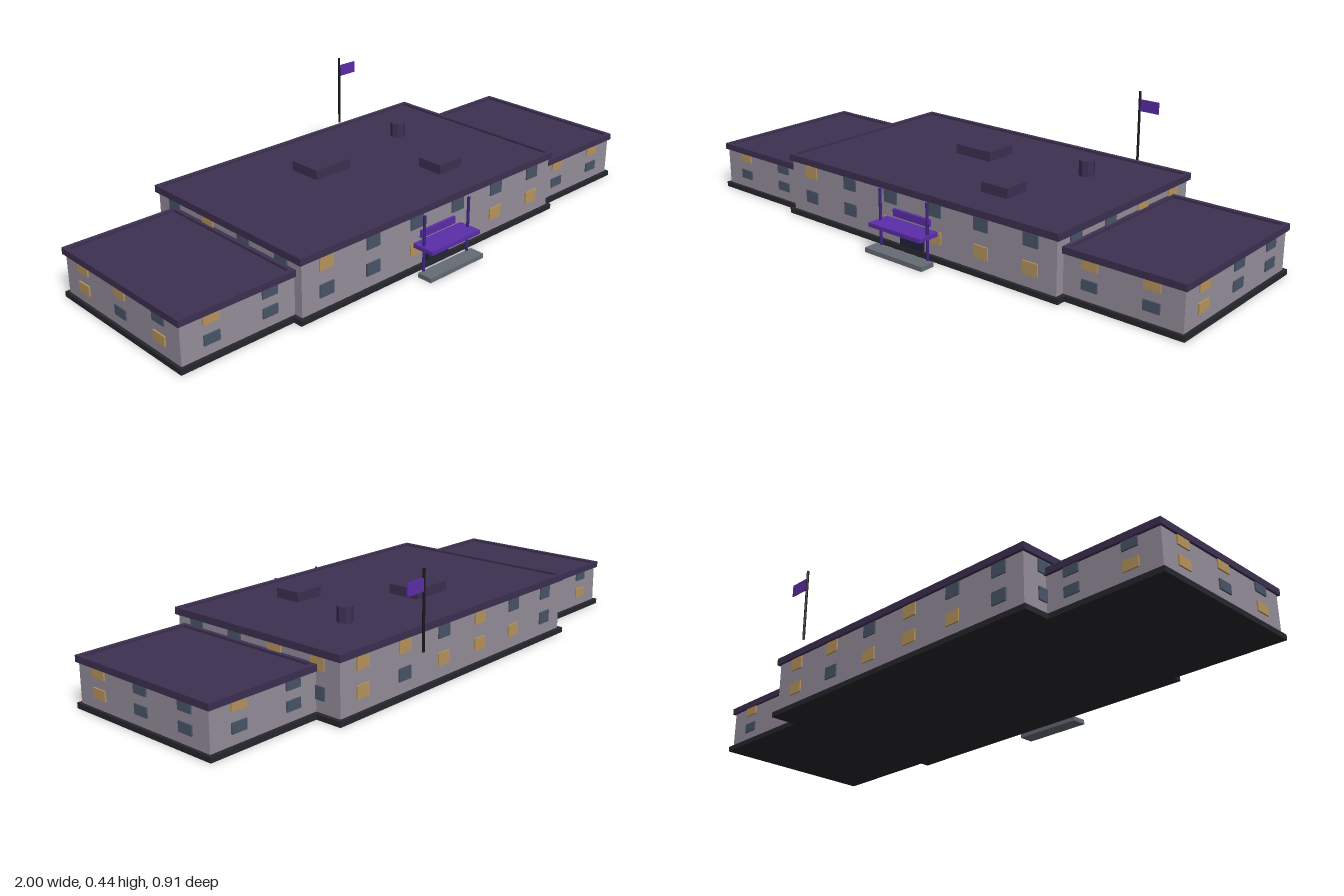
import * as THREE from 'three';

const mat = (color, extra = {}) => new THREE.MeshStandardMaterial({ color, ...extra });
const M = {
  wall: mat(0x958e9b), roof: mat(0x3d3052), plinth: mat(0x26262d), glass: mat(0x4a5568),
  lit: mat(0xb8955c), purple: mat(0x5b2da8), column: mat(0x3f2580), step: mat(0x666c75),
  door: mat(0x1e2438), pole: mat(0x17171d), equipment: mat(0x3d3052, { flatShading: true }),
};

// Box given by its limits on each axis
function box(parent, name, material, [x0, x1], [y0, y1], [z0, z1]) {
  const mesh = new THREE.Mesh(new THREE.BoxGeometry(x1 - x0, y1 - y0, z1 - z0), material);
  mesh.position.set((x0 + x1) / 2, (y0 + y1) / 2, (z0 + z1) / 2);
  mesh.name = name;
  parent.add(mesh);
  return mesh;
}

// Flat roof with a raised rim
function roof(parent, [x0, x1], [y0, y1], [z0, z1]) {
  const g = new THREE.Group();
  g.name = 'roof';
  const r = 0.015;
  box(g, 'roofDeck', M.roof, [x0 + r, x1 - r], [y0, y1 - 0.008], [z0 + r, z1 - r]);
  box(g, 'rimBack', M.roof, [x0, x1], [y0, y1], [z0, z0 + r]);
  box(g, 'rimFront', M.roof, [x0, x1], [y0, y1], [z1 - r, z1]);
  box(g, 'rimLeft', M.roof, [x1 - r, x1], [y0, y1], [z0 + r, z1 - r]);
  box(g, 'rimRight', M.roof, [x0, x0 + r], [y0, y1], [z0 + r, z1 - r]);
  parent.add(g);
}

// Evenly spaced windows on one wall; rows are strings from the top floor down, '1' = lit.
// Columns run toward +x on front and back, toward +z on the sides.
function windows(parent, side, [a, b], face, rows, ys, height) {
  const along = side === 'front' || side === 'back';
  rows.forEach((row, j) => [...row].forEach((c, i) => {
    const u = a + (b - a) * (i + 0.5) / row.length;
    const span = [u - 0.028, u + 0.028];
    const depth = [face - 0.005, face + 0.005];
    const y = [ys[j] - height / 2, ys[j] + height / 2];
    box(parent, side + 'Window', c === '1' ? M.lit : M.glass, along ? span : depth, y, along ? depth : span);
  }));
}

// Plinth, walls, rimmed roof and windows
function block(name, wx, wz, top, roofX, roofZ, plinthX, plinthZ, roofBase, ys, height, lit) {
  const g = new THREE.Group();
  g.name = name;
  box(g, 'plinth', M.plinth, plinthX, [0, 0.018], plinthZ);
  box(g, 'walls', M.wall, wx, [0.018, roofBase + 0.003], wz);
  roof(g, roofX, [roofBase, top], roofZ);
  const walls = { front: [wx, wz[1]], back: [wx, wz[0]], left: [wz, wx[1]], right: [wz, wx[0]] };
  for (const side in lit) windows(g, side, ...walls[side], lit[side], ys, height);
  return g;
}

export function createModel() {
  const model = new THREE.Group();
  model.name = 'building';

  model.add(block('mainBlock', [-0.58, 0.58], [-0.352, 0.36], 0.22,
    [-0.59, 0.59], [-0.362, 0.368], [-0.594, 0.594], [-0.365, 0.372], 0.196, [0.172, 0.081], 0.043, {
      front: ['100000', '001111'],
      back: ['001011', '011101'],
      left: ['1100', '0000'],
      right: ['0100', '0000'],
    }));

  // Lower wings on both ends
  const wz = [-0.255, 0.328], rz = [-0.265, 0.336], pz = [-0.268, 0.339];
  model.add(block('leftWing', [0.57, 0.99], wz, 0.17, [0.58, 0.998], rz, [0.594, 1], pz,
    0.148, [0.134, 0.069], 0.033, {
      front: ['11', '00'],
      back: ['01', '00'],
      left: ['001', '001'],
    }));
  model.add(block('rightWing', [-0.99, -0.57], wz, 0.17, [-0.998, -0.58], rz, [-1, -0.594], pz,
    0.148, [0.134, 0.069], 0.033, {
      front: ['10', '00'],
      back: ['00', '10'],
      right: ['110', '101'],
    }));

  // Entrance
  const entrance = new THREE.Group();
  entrance.name = 'entrance';
  box(entrance, 'door', M.door, [-0.05, 0.05], [0.018, 0.086], [0.355, 0.37]);
  box(entrance, 'signBoard', M.purple, [-0.08, 0.08], [0.112, 0.137], [0.355, 0.37]);
  box(entrance, 'canopy', M.purple, [-0.114, 0.114], [0.089, 0.103], [0.362, 0.447]);
  box(entrance, 'step', M.step, [-0.126, 0.126], [0, 0.016], [0.4, 0.455]);
  for (const s of [-1, 1]) {
    const column = new THREE.Mesh(new THREE.CylinderGeometry(0.005, 0.005, 0.194, 8), M.column);
    column.name = 'column';
    column.position.set(s * 0.104, 0.113, 0.402);
    entrance.add(column);
  }
  model.add(entrance);

  // Rooftop equipment
  const equipment = new THREE.Group();
  equipment.name = 'rooftopEquipment';
  box(equipment, 'largeVent', M.equipment, [-0.166, -0.01], [0.205, 0.246], [-0.158, -0.036]);
  box(equipment, 'smallVent', M.equipment, [0.167, 0.276], [0.205, 0.246], [0.119, 0.218]);
  const chimney = new THREE.Mesh(new THREE.CylinderGeometry(0.027, 0.027, 0.06, 8), M.equipment);
  chimney.name = 'chimney';
  chimney.position.set(0.325, 0.235, -0.138);
  equipment.add(chimney);
  model.add(equipment);

  // Flagpole behind the building
  const flagpole = new THREE.Group();
  flagpole.name = 'flagpole';
  const pole = new THREE.Mesh(new THREE.CylinderGeometry(0.0045, 0.0045, 0.257, 8), M.pole);
  pole.name = 'pole';
  pole.position.set(0.322, 0.3085, -0.45);
  flagpole.add(pole);
  box(flagpole, 'flag', M.purple, [0.322, 0.4], [0.367, 0.409], [-0.452, -0.448]);
  model.add(flagpole);

  return model;
}
